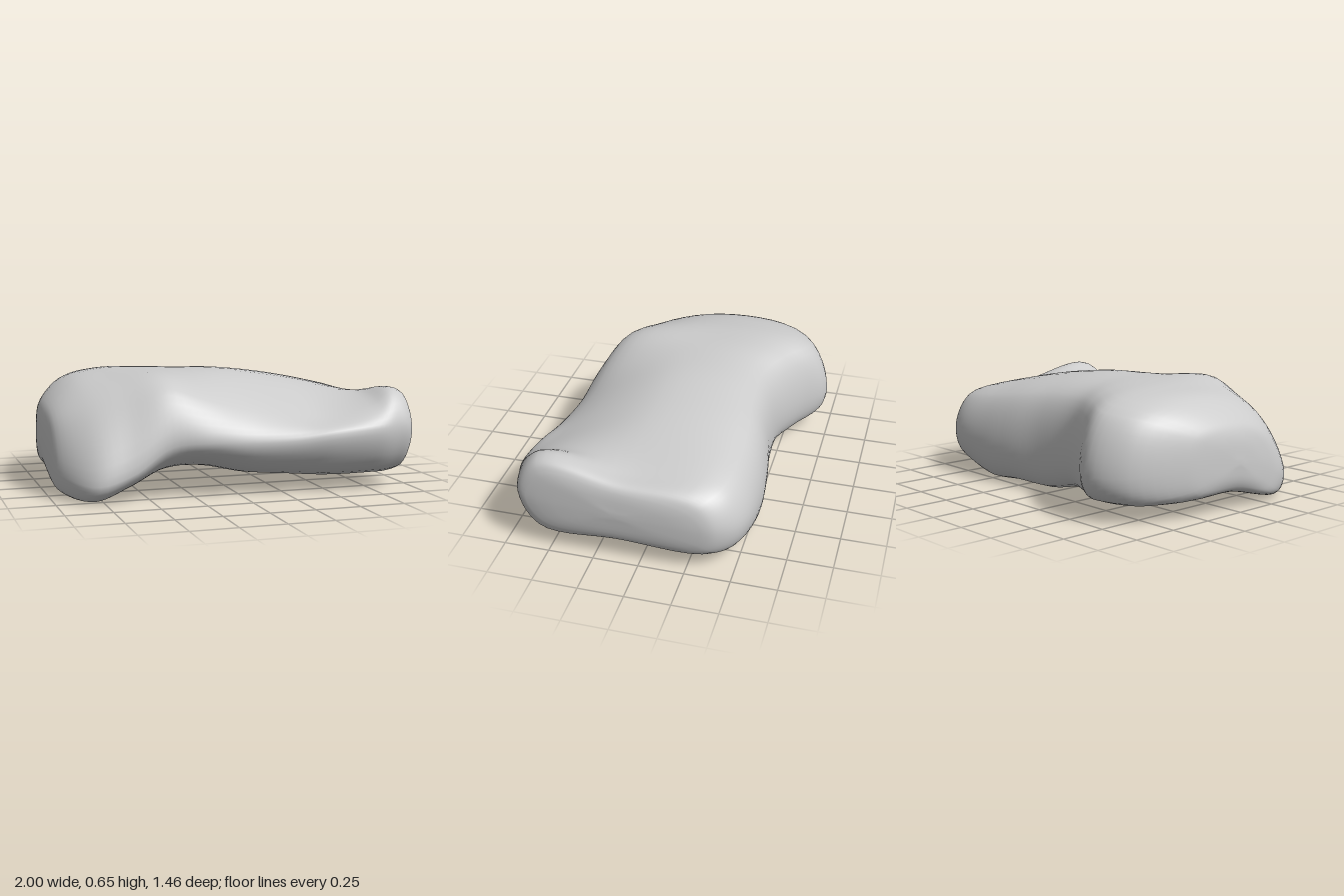
import * as THREE from 'three';
import { mergeVertices } from 'three/addons/utils/BufferGeometryUtils.js';

// Cross-sections from right to left:
// x, back z, front z, top y (back, middle, front), side y (back, front), bottom y (back, middle, front)
const stations = [
  [-0.985, -0.22, 0.22, 0.39, 0.41, 0.34, 0.3, 0.22, 0.19, 0.16, 0.13],
  [-0.95, -0.37, 0.38, 0.45, 0.48, 0.39, 0.28, 0.15, 0.14, 0.11, 0.05],
  [-0.8, -0.64, 0.58, 0.53, 0.595, 0.46, 0.25, 0.1, 0.11, 0.1, 0.012],
  [-0.6, -0.73, 0.6, 0.56, 0.64, 0.54, 0.25, 0.16, 0.11, 0.11, 0.08],
  [-0.4, -0.61, 0.6, 0.58, 0.652, 0.59, 0.28, 0.29, 0.09, 0.13, 0.17],
  [-0.2, -0.52, 0.635, 0.575, 0.647, 0.53, 0.3, 0.31, 0.08, 0.13, 0.19],
  [0.05, -0.51, 0.65, 0.56, 0.64, 0.46, 0.29, 0.3, 0.03, 0.1, 0.14],
  [0.3, -0.545, 0.685, 0.53, 0.61, 0.43, 0.26, 0.31, 0.035, 0.1, 0.12],
  [0.5, -0.56, 0.72, 0.5, 0.575, 0.42, 0.24, 0.34, 0.025, 0.09, 0.11],
  [0.75, -0.545, 0.725, 0.47, 0.52, 0.48, 0.25, 0.36, 0.08, 0.1, 0.11],
  [0.87, -0.5, 0.695, 0.45, 0.49, 0.55, 0.26, 0.36, 0.1, 0.1, 0.11],
  [0.95, -0.42, 0.67, 0.42, 0.475, 0.53, 0.28, 0.35, 0.13, 0.12, 0.13],
  [0.98, -0.34, 0.62, 0.38, 0.44, 0.48, 0.28, 0.33, 0.18, 0.16, 0.18],
];

// Eight control points running front, top, back, bottom
function ring([x, zb, zf, tb, tm, tf, yb, yf, bb, bm, bf]) {
  const w = (zf - zb) / 1.2, mid = (zb + zf) / 2;
  // The front leans back over a low lip at the right, and is undercut elsewhere
  const lean = THREE.MathUtils.smoothstep(-x, 0.35, 0.85);
  const topIn = 0.13 + 0.09 * lean, bottomIn = 0.12 - 0.06 * lean;
  return [
    [zf, yf], [zf - topIn * w, tf], [mid, tm], [zb + 0.11 * w, tb],
    [zb, yb], [zb + 0.06 * w, bb], [mid, bm], [zf - bottomIn * w, bf],
  ].map(([z, y]) => new THREE.Vector3(x, y, z));
}

// A ring shrunk to one point closes each end
function tip(points, x) {
  const c = new THREE.Vector3();
  points.forEach((p) => c.addScaledVector(p, 1 / points.length));
  return points.map(() => new THREE.Vector3(x, c.y, c.z));
}

function slabGeometry(along = 72, around = 56) {
  const rings = stations.map(ring);
  rings.unshift(tip(rings[0], -1));
  rings.push(tip(rings[rings.length - 1], 1));
  const rails = rings[0].map((_, j) => new THREE.CatmullRomCurve3(rings.map((r) => r[j])));

  const position = [], index = [];
  for (let i = 0; i <= along; i++) {
    const loop = new THREE.CatmullRomCurve3(rails.map((r) => r.getPoint(i / along)), true);
    for (let j = 0; j < around; j++) {
      const p = loop.getPoint(j / around);
      position.push(p.x, p.y, p.z);
      if (i === along) continue;
      const a = i * around + j, b = i * around + (j + 1) % around;
      index.push(a, a + around, b + around, a, b + around, b);
    }
  }
  const open = new THREE.BufferGeometry();
  open.setAttribute('position', new THREE.Float32BufferAttribute(position, 3));
  open.setIndex(index);
  const geo = mergeVertices(open, 1e-5);
  geo.computeVertexNormals();
  return geo;
}

export function createModel() {
  const group = new THREE.Group();
  group.name = 'rock';
  const slab = new THREE.Mesh(slabGeometry(), new THREE.MeshStandardMaterial({ color: 0xcccccc }));
  slab.name = 'rockSlab';
  group.add(slab);
  return group;
}
